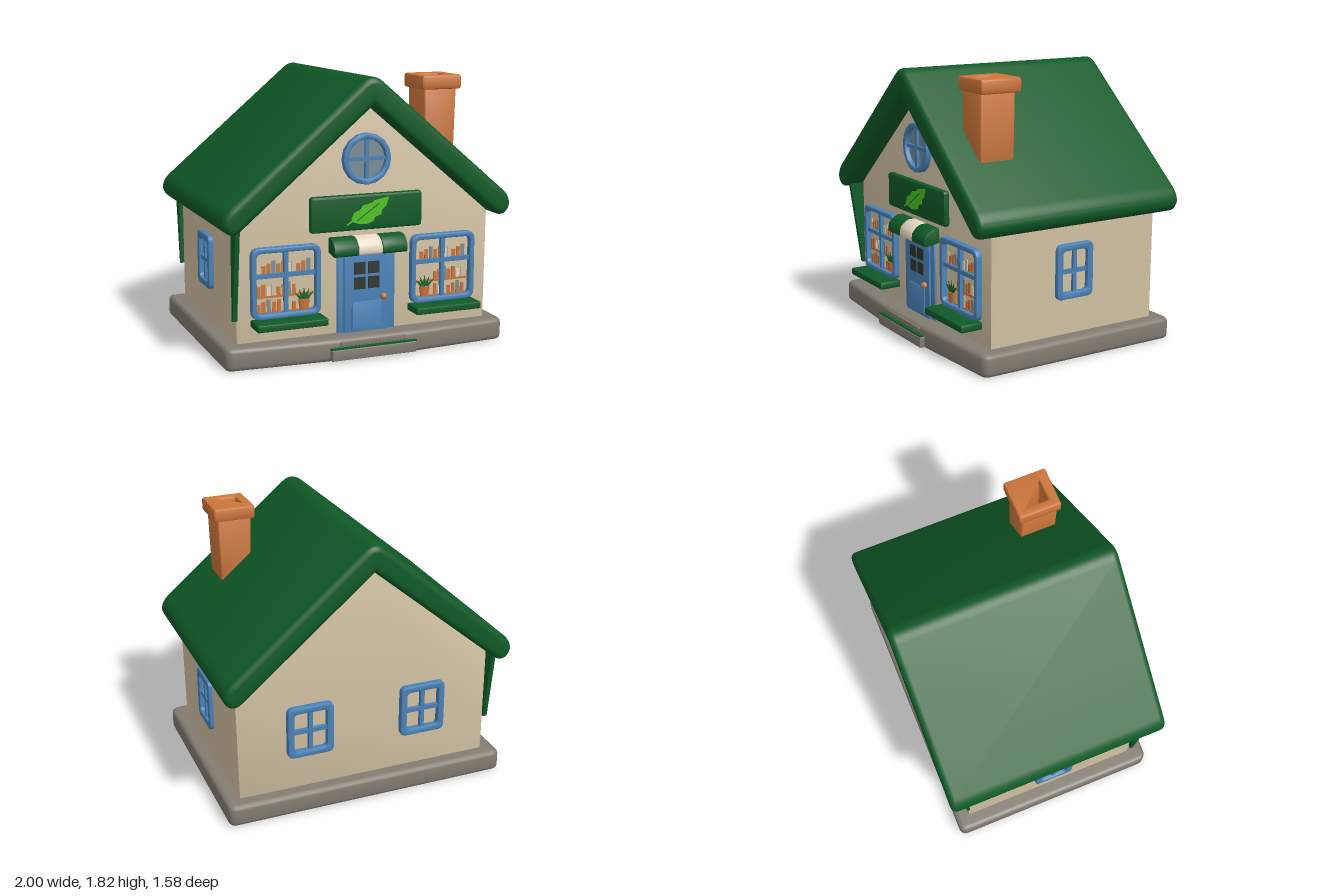
import * as THREE from 'three';
import { toCreasedNormals } from 'three/addons/utils/BufferGeometryUtils.js';

const paint = (name, color) => Object.assign(new THREE.MeshStandardMaterial({ color }), { name });
const green = paint('roof green', 0x0f5a27);
const wall = paint('wall beige', 0xd2c2a3);
const stone = paint('stone grey', 0x827b71);
const blue = paint('frame blue', 0x4a82b8);
const orange = paint('clay orange', 0xcc7539);
const dark = paint('dark glass', 0x30372f);
const lime = paint('leaf lime', 0x4fc323);
const warm = paint('warm interior', 0x947a50);
const pane = paint('grey glass', 0x7b8d96);
const cream = paint('cream', 0xe8dac4);

function add(parent, name, geo, mat, x = 0, y = 0, z = 0) {
  const m = new THREE.Mesh(geo, mat);
  m.name = name;
  m.position.set(x, y, z);
  parent.add(m);
  return m;
}

// rounded rectangle centred on the origin
function roundRect(w, h, r, T = THREE.Shape) {
  const s = new T(), x = w / 2, y = h / 2;
  s.moveTo(-x + r, -y).lineTo(x - r, -y).quadraticCurveTo(x, -y, x, -y + r)
    .lineTo(x, y - r).quadraticCurveTo(x, y, x - r, y)
    .lineTo(-x + r, y).quadraticCurveTo(-x, y, -x, y - r)
    .lineTo(-x, -y + r).quadraticCurveTo(-x, -y, -x + r, -y);
  return s;
}

// extrusion of exact total depth from z = 0, with softened rims
function slab(shape, depth, b = 0.01, seg = 2) {
  const g = new THREE.ExtrudeGeometry(shape, {
    depth: depth - 2 * b, bevelEnabled: b > 0, bevelSize: b, bevelThickness: b,
    bevelOffset: -b, bevelSegments: seg, curveSegments: 8,
  });
  g.translate(0, 0, b);
  return toCreasedNormals(g, 0.75);
}

const box = (w, h, d) => new THREE.BoxGeometry(w, h, d);
const block = (w, h, d, r = 0.015) => slab(roundRect(w, h, r), d, Math.min(r, d / 3));

// window facing +z with its back on z = 0
function makeWindow(name, w, h, t, r, glass, barY = 0) {
  const g = new THREE.Group();
  g.name = name;
  const ring = roundRect(w, h, r);
  ring.holes.push(roundRect(w - 2 * t, h - 2 * t, r * 0.6, THREE.Path));
  add(g, 'windowFrame', slab(ring, 0.05), blue);
  add(g, 'windowGlass', box(w - t, h - t, 0.006), glass, 0, 0, 0.006);
  add(g, 'uprightBar', box(0.028, h - t, 0.03), blue, 0, 0, 0.024);
  add(g, 'crossBar', box(w - t, 0.028, 0.028), blue, 0, barY, 0.024);
  return g;
}

// shelves, goods and a potted plant behind a shop window; s mirrors the plant
function makeDisplay(s) {
  const g = new THREE.Group();
  g.name = 'shopDisplay';
  const goods = [orange, cream, orange, orange, wall, orange, pane];
  [[-0.19, 0.075], [-0.085, 0.075], [0.05, 0.085]].forEach(([y, h], row) => {
    add(g, 'shelf', box(0.4, 0.014, 0.012), orange, 0, y - 0.007, 0.014);
    for (let i = 0; i < 11; i++) {
      const x = -0.18 + i * 0.034, k = (i * 3 + row * 2) % 7;
      if (row < 2 && x * s < -0.07) continue;
      add(g, 'shelfItem', box(0.024, h * (0.7 + 0.06 * k), 0.008), goods[k],
        x, y + h * (0.35 + 0.03 * k), 0.014);
    }
  });
  const px = -0.125 * s;
  add(g, 'flowerPot', new THREE.CylinderGeometry(0.04, 0.03, 0.07, 12), orange, px, -0.16, 0.02).scale.z = 0.5;
  for (let i = -2; i <= 2; i++) {
    const leaf = add(g, 'plantLeaf', new THREE.ConeGeometry(0.017, 0.09, 6), green,
      px + i * 0.018, -0.09 - Math.abs(i) * 0.008, 0.022);
    leaf.rotation.z = -i * 0.42;
    leaf.scale.z = 0.5;
  }
  return g;
}

export function createModel() {
  const house = new THREE.Group();
  house.name = 'cottageShop';

  // stone base with a bowed front, drawn with shape y = -z
  const plan = new THREE.Shape();
  plan.moveTo(-0.93, -0.715).lineTo(-0.26, -0.755).lineTo(0.26, -0.755).lineTo(0.93, -0.715)
    .quadraticCurveTo(0.985, -0.71, 0.985, -0.65).lineTo(0.985, 0.7)
    .quadraticCurveTo(0.985, 0.755, 0.93, 0.755).lineTo(-0.93, 0.755)
    .quadraticCurveTo(-0.985, 0.755, -0.985, 0.7).lineTo(-0.985, -0.65)
    .quadraticCurveTo(-0.985, -0.71, -0.93, -0.715);
  add(house, 'stoneBase', slab(plan, 0.148, 0.03, 3).rotateX(-Math.PI / 2), stone);
  add(house, 'doorLanding', block(0.46, 0.035, 0.2, 0.008), stone, 0, 0.113, 0.562);
  add(house, 'frontStep', block(0.6, 0.075, 0.1, 0.01), stone, 0, 0.05, 0.69);
  add(house, 'stepMat', box(0.6, 0.008, 0.028), green, 0, 0.09, 0.771);

  // gabled walls
  const gable = new THREE.Shape();
  gable.moveTo(-0.885, 0.12).lineTo(0.89, 0.12).lineTo(0.9, 0.92).lineTo(0, 1.69).lineTo(-0.885, 0.92);
  add(house, 'walls', slab(gable, 1.27, 0.02), wall, 0, 0, -0.66);

  // thick rounded roof
  const roof = new THREE.Shape();
  roof.moveTo(0, 1.64).lineTo(0.88, 0.9).quadraticCurveTo(0.93, 0.86, 0.97, 0.89)
    .quadraticCurveTo(1.01, 0.93, 0.998, 0.97).quadraticCurveTo(0.99, 1.01, 0.95, 1.045)
    .lineTo(0.07, 1.79).quadraticCurveTo(0, 1.85, -0.07, 1.79).lineTo(-0.95, 1.045)
    .quadraticCurveTo(-0.99, 1.01, -0.998, 0.97).quadraticCurveTo(-1.01, 0.93, -0.97, 0.89)
    .quadraticCurveTo(-0.93, 0.86, -0.88, 0.9);
  add(house, 'roof', slab(roof, 1.545, 0.04, 4), green, 0, 0, -0.79);

  // tapered corner trims under the left eave, shape x = z
  for (const [z0, z1, y] of [[0.6, 0.71, 0.3], [-0.65, -0.74, 0.4]]) {
    const trim = new THREE.Shape([[z0, 0.93], [z0, y], [z0 + (z1 - z0) * 0.2, y], [z1, 0.93]]
      .map((p) => new THREE.Vector2(...p)));
    add(house, 'cornerTrim', slab(trim, 0.03, 0).rotateY(-Math.PI / 2), green, -0.88, 0, 0);
  }

  // hollow chimney, opening down to the roof
  const tube = (w, d, t, h) => {
    const s = roundRect(w, d, 0.015);
    s.holes.push(roundRect(0.155, 0.155, 0.01, THREE.Path));
    return slab(s, h, t, 2).rotateX(-Math.PI / 2);
  };
  const shaft = tube(0.235, 0.25, 0.006, 0.56);
  const sp = shaft.attributes.position;
  for (let i = 0; i < sp.count; i++) sp.setX(i, sp.getX(i) * (0.86 + 0.14 * sp.getY(i) / 0.56));
  add(house, 'chimneyShaft', shaft, orange, 0.565, 1.18, 0.42);
  add(house, 'chimneyCap', tube(0.285, 0.295, 0.018, 0.095), orange, 0.57, 1.71, 0.415);

  // shop windows with sills
  for (const s of [-1, 1]) {
    const w = makeWindow('shopWindow', 0.47, 0.465, 0.036, 0.06, warm, 0.047);
    w.add(makeDisplay(s));
    w.position.set(0.555 * s, 0.53, 0.6);
    house.add(w);
    add(house, 'windowSill', block(0.475, 0.048, 0.16, 0.01), green, 0.55 * s, 0.272, 0.6);
  }

  // small windows on the sides and back
  for (const [x, z, a] of [[0.875, -0.01, Math.PI / 2], [-0.87, -0.01, -Math.PI / 2],
    [0.4, -0.65, Math.PI], [-0.4, -0.65, Math.PI]]) {
    const w = makeWindow('smallWindow', z < -0.5 ? 0.32 : 0.28, 0.365, 0.046, 0.045, dark);
    w.position.set(x, 0.57, z);
    w.rotation.y = a;
    house.add(w);
  }

  // round attic window
  const ring = new THREE.Shape().absarc(0, 0, 0.168, 0, Math.PI * 2);
  ring.holes.push(new THREE.Path().absarc(0, 0, 0.13, 0, Math.PI * 2, true));
  add(house, 'roundWindowFrame', slab(ring, 0.05), blue, 0, 1.29, 0.6);
  add(house, 'roundWindowGlass', new THREE.CircleGeometry(0.14, 32), pane, 0, 1.29, 0.618);
  add(house, 'roundWindowUpright', box(0.024, 0.27, 0.03), blue, 0, 1.29, 0.622);
  add(house, 'roundWindowCross', box(0.27, 0.024, 0.028), blue, 0, 1.29, 0.622);

  // sign board with a leaf
  add(house, 'signBoard', block(0.785, 0.235, 0.05, 0.025), green, 0, 0.945, 0.6);
  const leaf = new THREE.Shape();
  leaf.moveTo(-0.145, 0.865).lineTo(-0.105, 0.888).quadraticCurveTo(-0.03, 0.85, 0.04, 0.885)
    .lineTo(0.05, 0.91).lineTo(0.095, 0.925).lineTo(0.1, 0.955).lineTo(0.13, 0.98)
    .lineTo(0.148, 1.038).lineTo(0.05, 1.02).lineTo(0.03, 1.005).lineTo(-0.035, 0.99)
    .lineTo(-0.05, 0.965).lineTo(-0.095, 0.945).quadraticCurveTo(-0.115, 0.915, -0.115, 0.893)
    .lineTo(-0.148, 0.872);
  add(house, 'signLeaf', slab(leaf, 0.008, 0), lime, 0, 0, 0.648);
  add(house, 'leafVein', box(0.19, 0.005, 0.002), green, 0, 0.945, 0.6565).rotation.z = 0.6;

  // striped awning, shape x = z
  const hood = new THREE.Shape();
  hood.moveTo(0.6, 0.69).lineTo(0.7, 0.675).quadraticCurveTo(0.725, 0.675, 0.725, 0.7)
    .lineTo(0.72, 0.735).quadraticCurveTo(0.69, 0.78, 0.65, 0.79).lineTo(0.6, 0.79);
  for (const [x, w, mat] of [[-0.172, 0.17, green], [-0.004, 0.168, cream], [0.168, 0.176, green]]) {
    add(house, 'awningStripe', slab(hood, w, 0.008).rotateY(-Math.PI / 2), mat, x + w / 2, 0, 0);
  }

  // door with frame, panes, panel and knob
  add(house, 'doorFrame', block(0.41, 0.56, 0.025, 0.008), blue, 0.005, 0.41, 0.6);
  add(house, 'door', block(0.32, 0.54, 0.035, 0.01), blue, 0.003, 0.402, 0.605);
  for (const x of [-0.05, 0.05]) for (const y of [0.475, 0.575]) {
    add(house, 'doorPane', box(0.08, 0.08, 0.006), dark, x, y, 0.641);
  }
  add(house, 'doorPanel', block(0.21, 0.19, 0.012, 0.008), blue, 0, 0.255, 0.636);
  add(house, 'doorKnob', new THREE.SphereGeometry(0.022, 16, 12), orange, 0.118, 0.375, 0.652);

  return house;
}
